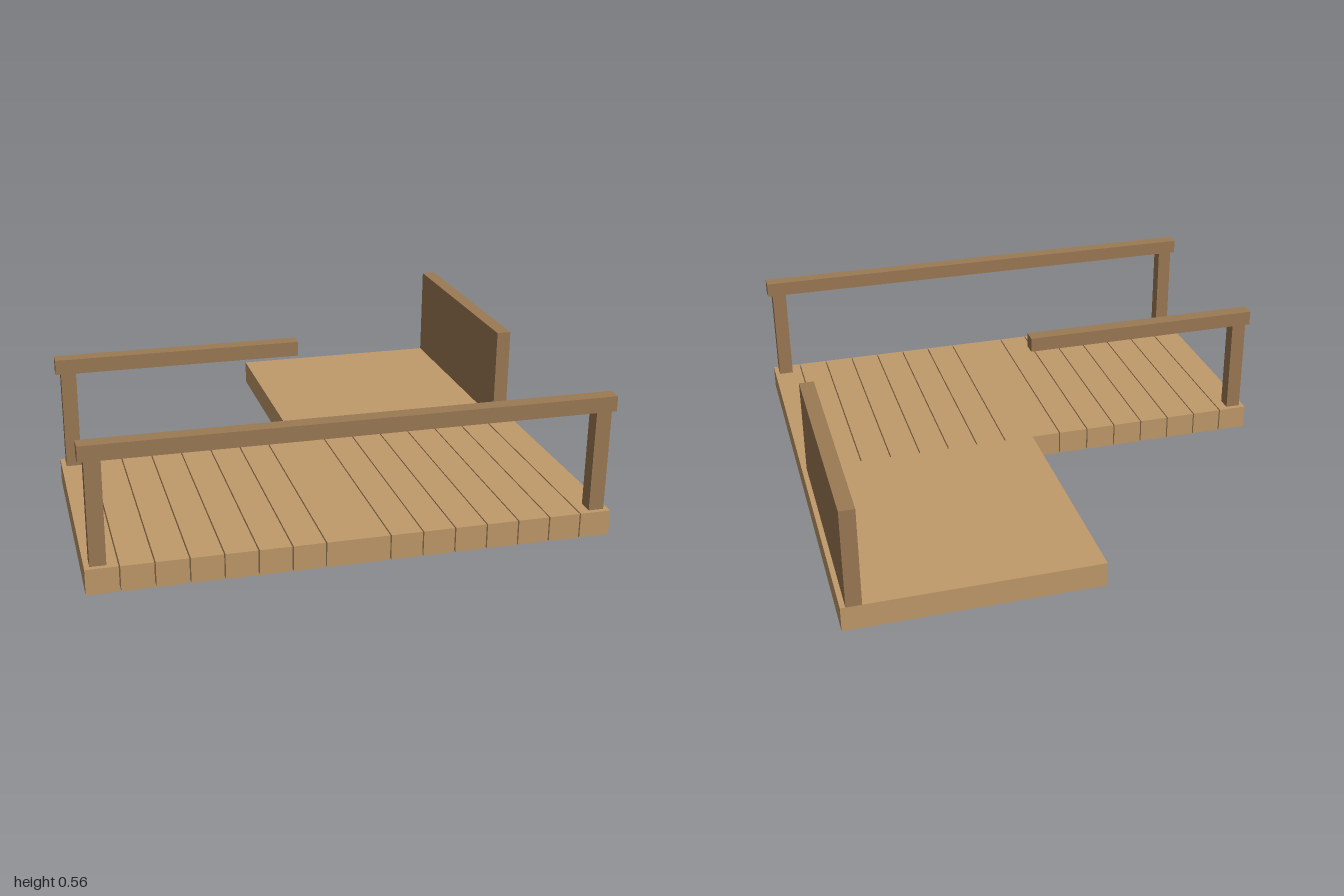
import * as THREE from 'three';

export function createModel() {
  const model = new THREE.Group();
  model.name = 'lShapedDeck';
  const deckWood = new THREE.MeshStandardMaterial({ color: 0xc19a6b, flatShading: true });
  const railWood = new THREE.MeshStandardMaterial({ color: 0x9c7a54, flatShading: true });

  // Box given by its extents along each axis
  function block(name, [x0, x1], [y0, y1], [z0, z1], material, parent = model) {
    const mesh = new THREE.Mesh(new THREE.BoxGeometry(x1 - x0, y1 - y0, z1 - z0), material);
    mesh.position.set((x0 + x1) / 2, (y0 + y1) / 2, (z0 + z1) / 2);
    mesh.name = name;
    parent.add(mesh);
  }

  // Front deck: two mirrored runs of planks with narrow gaps, meeting at x = 0
  const planks = new THREE.Group();
  planks.name = 'deckPlanks';
  model.add(planks);
  const count = 8, gap = 0.005;
  const width = (1 - gap * (count - 1)) / count;
  for (const side of [-1, 1]) {
    for (let i = 0; i < count; i++) {
      const a = side * i * (width + gap);
      const b = a + side * width;
      block('plank', [Math.min(a, b), Math.max(a, b)], [0, 0.1], [0, 1], deckWood, planks);
    }
  }

  // Solid rear platform
  block('rearPlatform', [0, 1], [0, 0.1], [-1, 0], deckWood);

  // Front railing
  block('frontRail', [-1, 1], [0.5, 0.56], [0.92, 0.98], railWood);
  block('frontRightPost', [-0.98, -0.92], [0.1, 0.5], [0.92, 0.98], railWood);
  block('frontLeftPost', [0.92, 0.98], [0.1, 0.5], [0.92, 0.98], railWood);

  // Short back railing, held by a single post
  block('backRail', [-1, 0], [0.5, 0.56], [0.02, 0.08], railWood);
  block('backPost', [-0.98, -0.92], [0.1, 0.5], [0.02, 0.08], railWood);

  // Solid side panel on the rear platform
  block('sidePanel', [0.92, 0.98], [0.1, 0.5], [-1, 0], railWood);

  return model;
}
